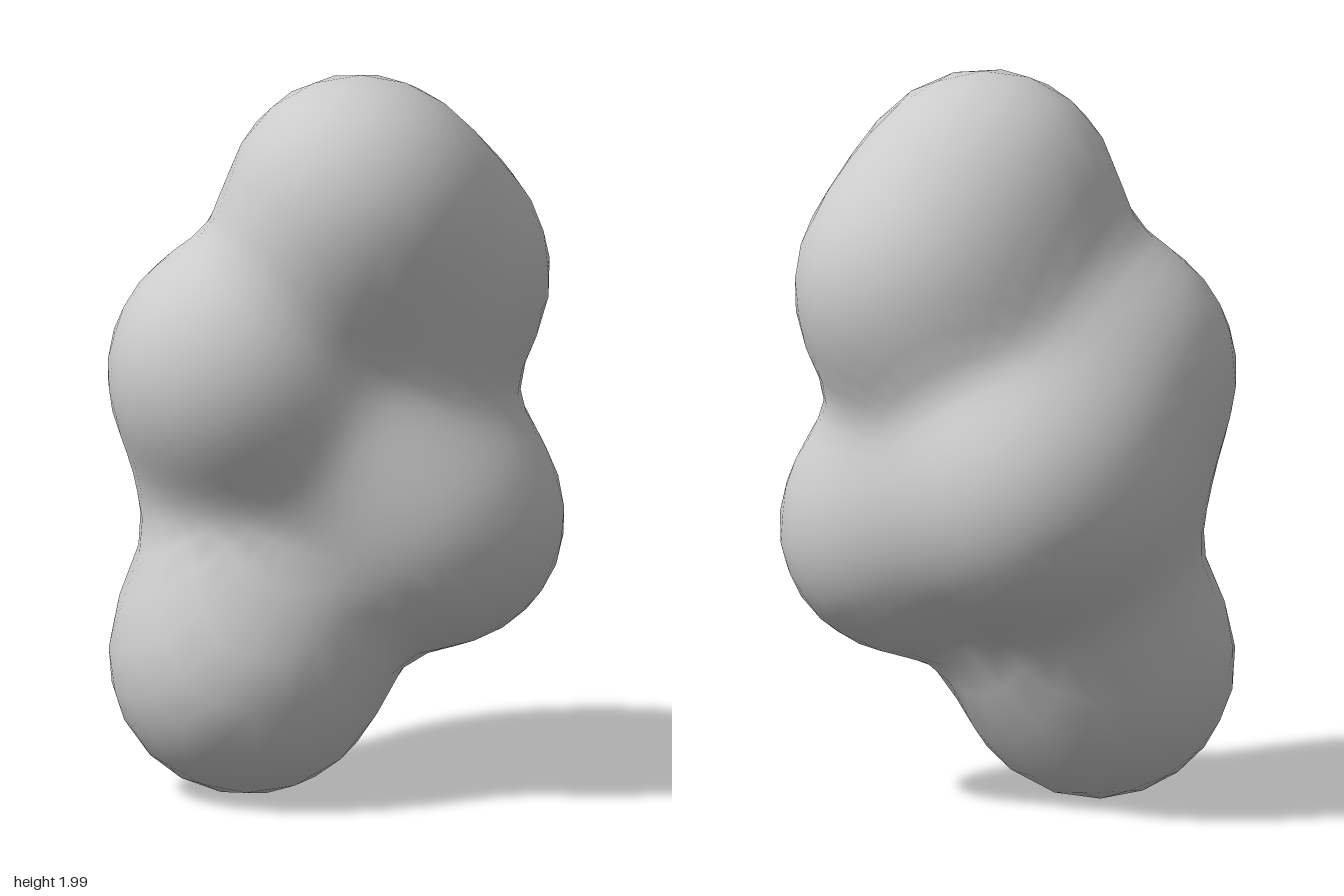
import * as THREE from 'three';
import { mergeVertices } from 'three/addons/utils/BufferGeometryUtils.js';

// Lobes of the blob: x, y, z, radius
const LOBES = [
  [-0.24, 0.38, 0.12, 0.378],  // bottom
  [0.285, 0.75, 0.14, 0.33],   // lower left side
  [-0.27, 1.19, 0.14, 0.345],  // upper right side
  [0.05, 1.65, 0.18, 0.347],   // top
  [0.24, 1.42, 0.05, 0.343],   // shoulder
  [-0.02, 0.88, -0.18, 0.347], // back
  [-0.2, 0.84, 0.0, 0.255],    // waist
  [0.14, 0.95, 0.14, 0.25],    // mound above the lower left side
  [-0.16, 1.02, -0.02, 0.265], // bridge from back to upper right side
];
const BLEND = 12;

// Smoothly blended distance to all lobes
function distance(p) {
  let sum = 0;
  for (const [x, y, z, r] of LOBES) {
    sum += Math.exp(-BLEND * (Math.hypot(p.x - x, p.y - y, p.z - z) - r));
  }
  return -Math.log(sum) / BLEND;
}

// Shrink-wrap a sphere onto the lobes
function blobGeometry() {
  const sphere = new THREE.IcosahedronGeometry(1, 9);
  sphere.deleteAttribute('normal');
  sphere.deleteAttribute('uv');
  const geometry = mergeVertices(sphere, 1e-4);
  const pos = geometry.attributes.position;
  const centre = new THREE.Vector3(0, 1, 0.06);
  const dir = new THREE.Vector3(), p = new THREE.Vector3();
  for (let i = 0; i < pos.count; i++) {
    dir.fromBufferAttribute(pos, i).normalize();
    let t = 1.5;
    for (let step = 0; step < 80; step++) {
      const d = distance(p.copy(centre).addScaledVector(dir, t));
      if (Math.abs(d) < 1e-4) break;
      t -= d * 0.9;
    }
    p.copy(centre).addScaledVector(dir, t);
    pos.setXYZ(i, p.x, p.y, p.z);
  }
  geometry.computeVertexNormals();
  return geometry;
}

export function createModel() {
  const group = new THREE.Group();
  group.name = 'blob';
  const body = new THREE.Mesh(blobGeometry(), new THREE.MeshStandardMaterial({ color: 0xcccccc }));
  body.name = 'lobedBody';
  group.add(body);
  return group;
}
